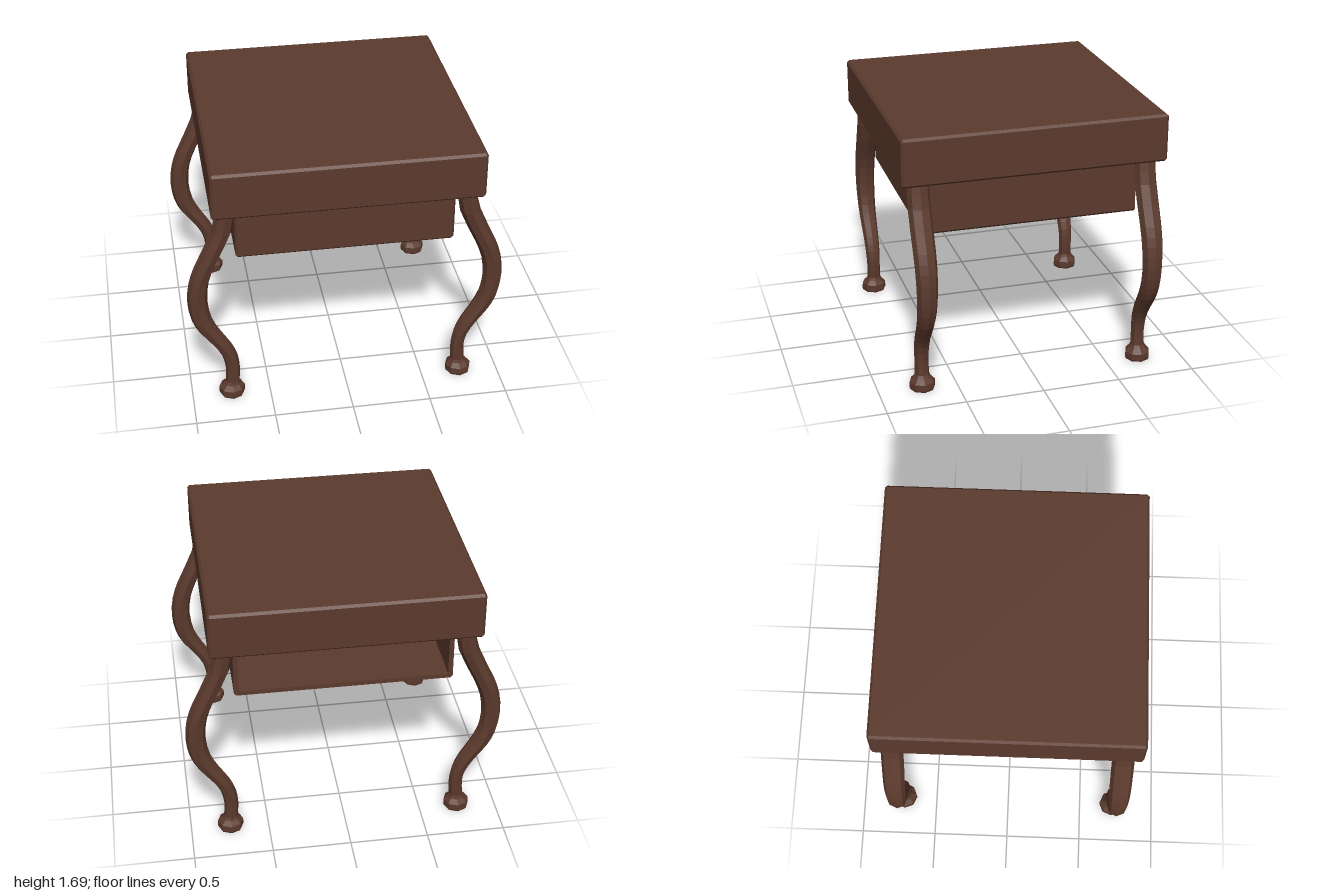
import * as THREE from 'three';
import { ConvexGeometry } from 'three/addons/geometries/ConvexGeometry.js';

const CHAMFER = 0.015;

// Solid block with chamfered edges, centred on the origin
function chamferedBlock(w, h, d, c) {
  const points = [];
  for (const sx of [-1, 1]) for (const sy of [-1, 1]) for (const sz of [-1, 1]) {
    const x = w / 2, y = h / 2, z = d / 2;
    points.push(
      new THREE.Vector3(sx * x, sy * (y - c), sz * (z - c)),
      new THREE.Vector3(sx * (x - c), sy * y, sz * (z - c)),
      new THREE.Vector3(sx * (x - c), sy * (y - c), sz * z));
  }
  return new ConvexGeometry(points);
}

// Rectangle outline with cut corners
function cutRectangle(w, h, c) {
  const x = w / 2, y = h / 2;
  return [[x - c, -y], [x, -y + c], [x, y - c], [x - c, y], [-x + c, y], [-x, y - c], [-x, -y + c], [-x + c, -y]]
    .map(([px, py]) => new THREE.Vector2(px, py));
}

// Curved octagonal leg for the +x side: rows of [height, outer x, inner x, half depth]
function legGeometry() {
  const curveRows = [
    [1.39, 0.80, 0.685, 0.068], [1.24, 0.835, 0.705, 0.071], [1.0, 0.945, 0.815, 0.07],
    [0.88, 0.985, 0.86, 0.068], [0.74, 1.0, 0.875, 0.065], [0.6, 0.98, 0.852, 0.061],
    [0.5, 0.935, 0.803, 0.057], [0.4, 0.86, 0.742, 0.053], [0.3, 0.80, 0.702, 0.049],
    [0.2, 0.78, 0.69, 0.045], [0.1, 0.785, 0.695, 0.046],
  ];
  const centres = new THREE.CatmullRomCurve3(curveRows.map(([y, o, i]) => new THREE.Vector3((o + i) / 2, y, 0)));
  const radii = new THREE.CatmullRomCurve3(curveRows.map(([y, o, i, r]) => new THREE.Vector3((o - i) / 2, y, r)));
  const rows = [];
  for (let k = 0; k <= 20; k++) {
    const c = centres.getPoint(k / 20), r = radii.getPoint(k / 20);
    rows.push([c.y, c.x, r.x, r.z]);
  }
  // Flared foot
  rows.push([0.08, 0.742, 0.056, 0.054], [0.052, 0.745, 0.082, 0.081], [0.012, 0.745, 0.082, 0.083], [0, 0.745, 0.077, 0.078]);

  const n = rows.length - 1;
  const geometry = new THREE.CylinderGeometry(1, 1, 1, 8, n);
  const p = geometry.attributes.position;
  for (let k = 0; k < p.count; k++) {
    const [y, cx, rx, rz] = rows[Math.round((0.5 - p.getY(k)) * n)];
    p.setXYZ(k, cx + p.getX(k) * rx, y, p.getZ(k) * rz);
  }
  geometry.computeVertexNormals();
  return geometry;
}

export function createModel() {
  const model = new THREE.Group();
  model.name = 'sideTable';
  const wood = new THREE.MeshStandardMaterial({ color: 0x5c3a2d, flatShading: true });
  wood.name = 'dark brown wood';

  const add = (name, geometry, x, y, z, parent = model) => {
    const mesh = new THREE.Mesh(geometry, wood);
    mesh.name = name;
    mesh.position.set(x, y, z);
    parent.add(mesh);
    return mesh;
  };

  // Thick top
  add('tableTop', chamferedBlock(1.67, 0.305, 1.67, CHAMFER), 0, 1.5375, 0);

  // Storage box under the top, open at the back
  const box = new THREE.Group();
  box.name = 'storageBox';
  model.add(box);
  const w = 1.37, h = 0.375, wall = 0.03, y = 1.1975;
  const tube = new THREE.Shape(cutRectangle(w, h, CHAMFER));
  tube.holes.push(new THREE.Path(cutRectangle(w - 2 * wall, h - 2 * wall, 0.002).reverse()));
  add('boxWalls', new THREE.ExtrudeGeometry(tube, { depth: 1.34, bevelEnabled: false }), 0, y, -0.69, box);

  // Front panel with a chamfered face
  const panelPoints = [[0, 0], [0.025, 0], [0.04, CHAMFER]].flatMap(([z, inset]) =>
    cutRectangle(w - 2 * inset, h - 2 * inset, inset ? 0.001 : CHAMFER).map(q => new THREE.Vector3(q.x, q.y, z)));
  add('boxFront', new ConvexGeometry(panelPoints), 0, y, 0.65, box);

  // Four legs, bowed outward to the sides
  const leg = legGeometry();
  for (const sx of [1, -1]) for (const sz of [1, -1]) {
    const mesh = add((sz > 0 ? 'front' : 'back') + (sx > 0 ? 'Left' : 'Right') + 'Leg', leg, 0, 0, sz * 0.72);
    if (sx < 0) mesh.rotation.y = Math.PI;
  }
  return model;
}
